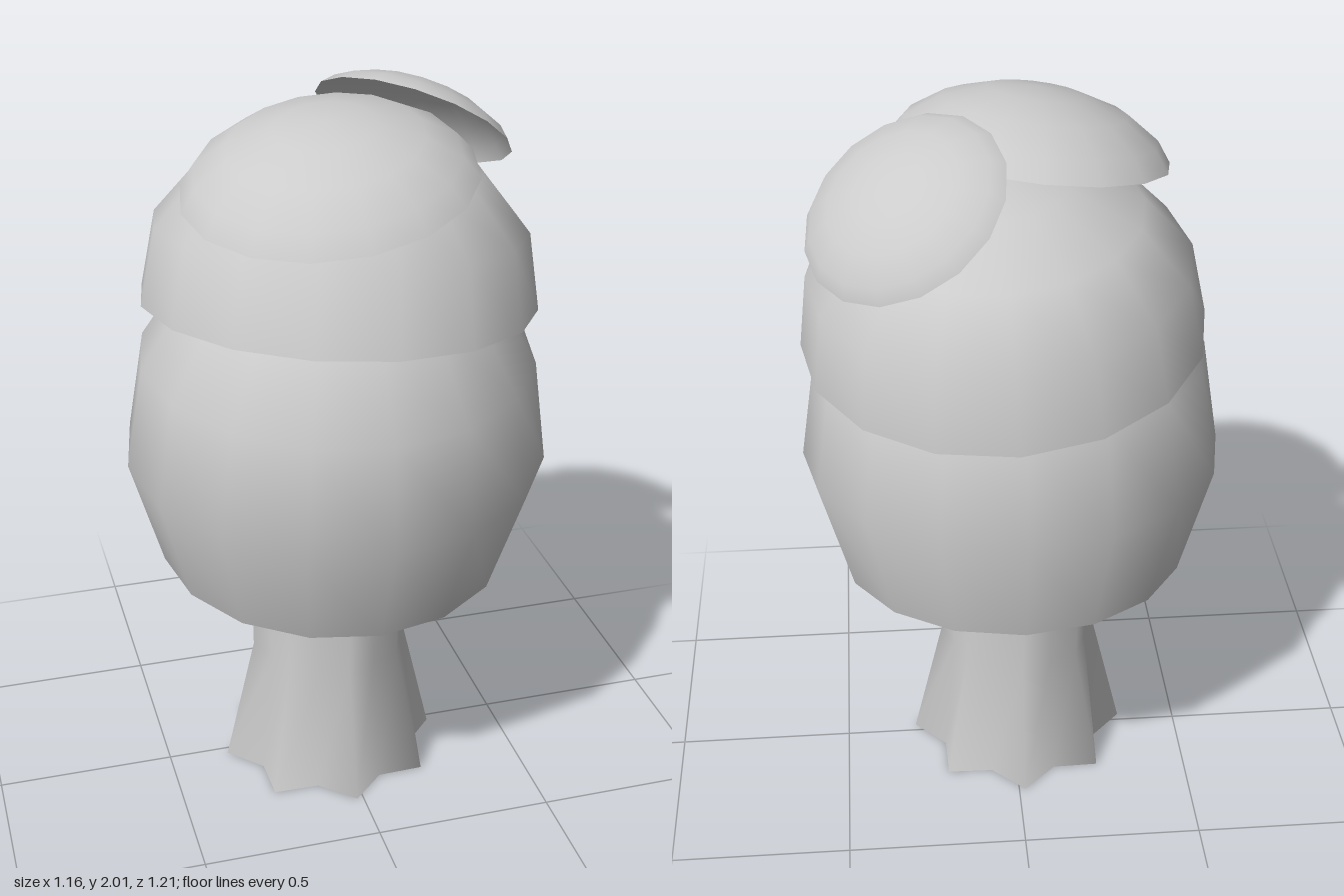
import * as THREE from 'three';
import { mergeVertices } from 'three/addons/utils/BufferGeometryUtils.js';

const SIDES = 16;
const material = new THREE.MeshStandardMaterial({ color: 0xcccccc, side: THREE.DoubleSide });

// Weld the seam and tip, then smooth the whole surface
function smooth(geometry) {
  geometry.deleteAttribute('uv');
  geometry.deleteAttribute('normal');
  const welded = mergeVertices(geometry, 1e-4);
  welded.computeVertexNormals();
  return welded;
}

// Tilted hollow dome; profile holds [radius, height] from rim to tip
function dome(name, profile, position, up) {
  const points = profile.map(([r, h]) => new THREE.Vector2(r, h));
  const mesh = new THREE.Mesh(smooth(new THREE.LatheGeometry(points, SIDES)), material);
  mesh.name = name;
  mesh.position.set(...position);
  mesh.quaternion.setFromUnitVectors(
    new THREE.Vector3(0, 1, 0), new THREE.Vector3(...up).normalize());
  return mesh;
}

// Eight-sided stalk whose corners flare into ridges at the foot, open at both ends
function stalk() {
  const rows = [
    { y: 0.86, ridge: 0.228, valley: 0.211 },
    { y: 0.375, ridge: 0.225, valley: 0.208 },
    { y: 0, ridge: 0.313, valley: 0.243 },
  ];
  const geometry = new THREE.CylinderGeometry(1, 1, 1, SIDES, 2, true);
  const p = geometry.attributes.position;
  for (let i = 0; i < p.count; i++) {
    const row = rows[Math.floor(i / (SIDES + 1))];
    const r = (i % (SIDES + 1)) % 2 === 0 ? row.ridge : row.valley;
    p.setXYZ(i, p.getX(i) * r, row.y, p.getZ(i) * r);
  }
  const mesh = new THREE.Mesh(smooth(geometry), material);
  mesh.name = 'stalk';
  mesh.position.set(-0.018, 0, 0.025);
  return mesh;
}

export function createModel() {
  const model = new THREE.Group();
  model.name = 'layeredMushroom';

  // Large lower body, leaning slightly forward
  const body = dome('body',
    [[0.488, -0.01], [0.58, 0.308], [0.535, 0.6], [0.4, 0.82], [0.2, 0.95], [0, 1]],
    [0, 0.698, 0.004], [0, 1, 0.077]);

  // Wide cap over the body, leaning backward
  const cap = dome('cap',
    [[0.567, 0], [0.53, 0.208], [0.4, 0.355], [0.21, 0.445], [0, 0.475]],
    [0.025, 1.41, -0.035], [0.056, 1, -0.093]);
  cap.scale.x = 0.95;

  // Two small overlapping caps on top
  const frontCap = dome('frontCap',
    [[0.38, 0], [0.34, 0.055], [0.25, 0.115], [0.13, 0.153], [0, 0.166]],
    [-0.062, 1.82, 0.195], [-0.139, 1, 0.16]);
  const backCap = dome('backCap',
    [[0.28, 0], [0.25, 0.032], [0.18, 0.068], [0.095, 0.09], [0, 0.097]],
    [0.28, 1.833, -0.185], [0.55, 1, -0.53]);

  model.add(stalk(), body, cap, frontCap, backCap);
  return model;
}
